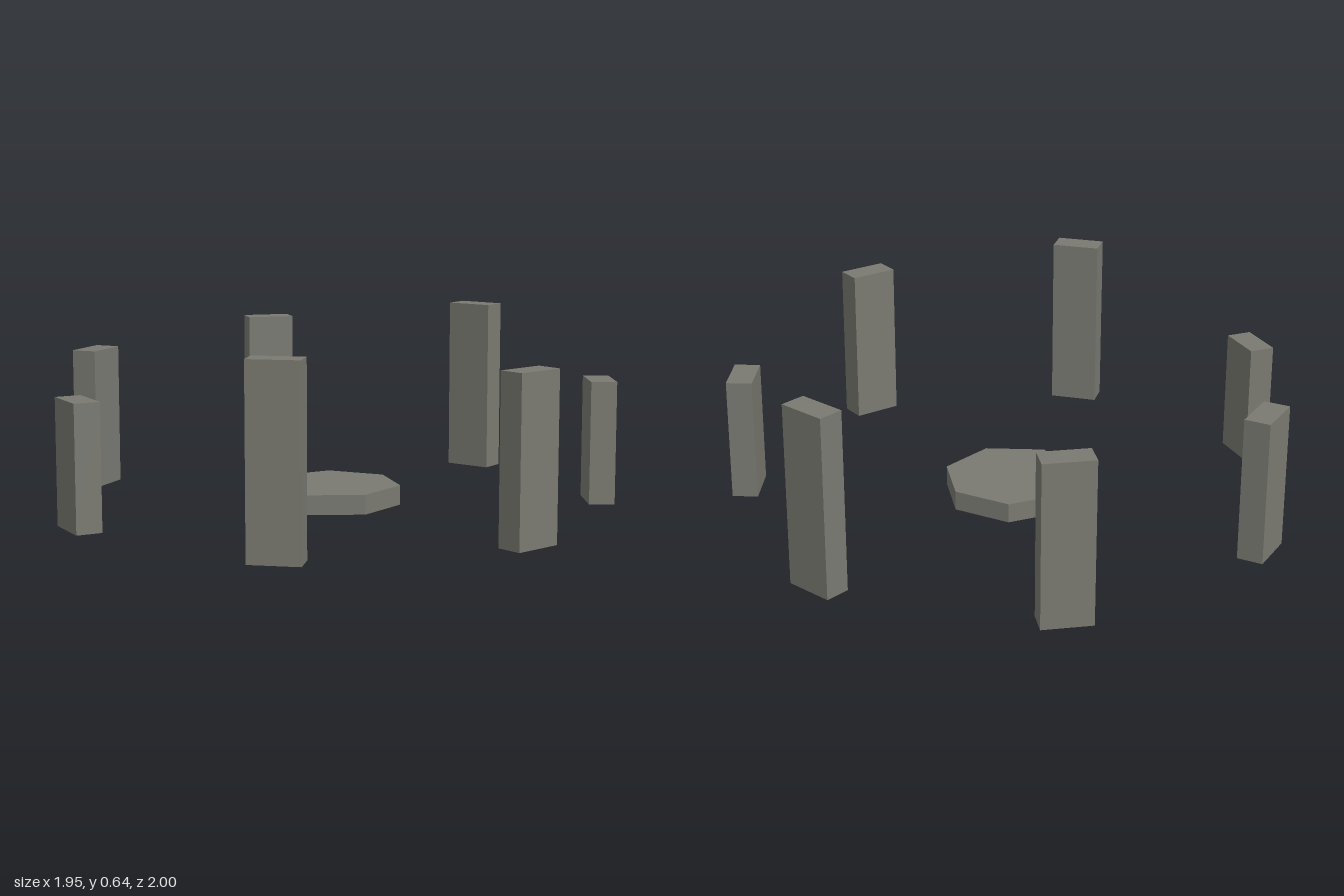
import * as THREE from 'three';

const CENTRE_X = -0.033;
const RING_RADIUS = 0.958;
const HEIGHTS = [0.44, 0.575, 0.64, 0.44, 0.51, 0.575, 0.64];

export function createModel() {
  const model = new THREE.Group();
  model.name = 'stoneCircle';
  const stone = new THREE.MeshStandardMaterial({ color: 0x7a7a72, flatShading: true });
  stone.name = 'grey stone';

  // Ring of standing stones, each with its broad face towards the centre
  const ring = new THREE.Group();
  ring.name = 'standingStones';
  ring.position.x = CENTRE_X;
  HEIGHTS.forEach((height, i) => {
    const angle = (i / HEIGHTS.length) * Math.PI * 2;
    const mesh = new THREE.Mesh(new THREE.BoxGeometry(0.092, height, 0.176), stone);
    mesh.name = `standingStone${i + 1}`;
    mesh.position.set(Math.cos(angle) * RING_RADIUS, height / 2, Math.sin(angle) * RING_RADIUS);
    mesh.rotation.y = -angle;
    ring.add(mesh);
  });
  model.add(ring);

  // Low seven-sided slab in the middle, one corner to the back
  const slab = new THREE.Mesh(new THREE.CylinderGeometry(0.247, 0.247, 0.07, 7), stone);
  slab.name = 'centreSlab';
  slab.position.set(CENTRE_X, 0.035, 0);
  slab.rotation.y = Math.PI;
  model.add(slab);

  return model;
}
